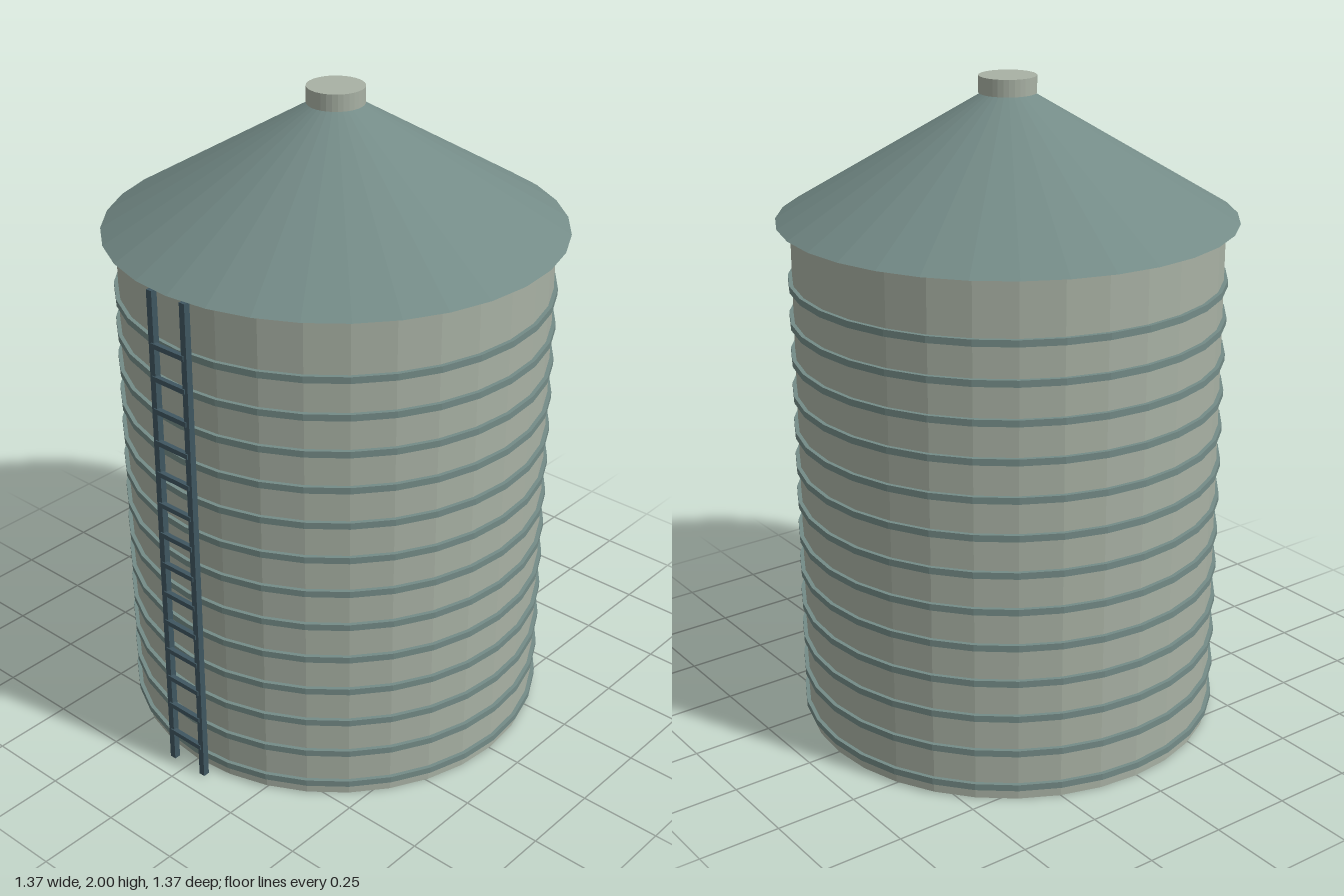
import * as THREE from 'three';

const SIDES = 32;
const CENTRE_Z = -0.004;

// Flat-shaded faces: split the vertices so every facet gets its own normal
function faceted(geometry) {
  const flat = geometry.toNonIndexed();
  flat.computeVertexNormals();
  return flat;
}

export function createModel() {
  const model = new THREE.Group();
  model.name = 'grainSilo';

  const material = (name, color) => {
    const m = new THREE.MeshStandardMaterial({ color });
    m.name = name;
    return m;
  };
  const wallMetal = material('pale galvanised metal', 0xa8b1a4);
  const roofMetal = material('blue green metal', 0x748b87);
  const ladderMetal = material('dark slate metal', 0x3f5660);

  const add = (parent, name, geometry, mat, x, y, z) => {
    const mesh = new THREE.Mesh(geometry, mat);
    mesh.name = name;
    mesh.position.set(x, y, z);
    parent.add(mesh);
    return mesh;
  };
  const drum = (top, bottom, height) =>
    faceted(new THREE.CylinderGeometry(top, bottom, height, SIDES));

  // Tank wall, conical roof and vent cap
  add(model, 'wall', drum(0.641, 0.641, 1.585), wallMetal, 0, 0.7925, CENTRE_Z);
  add(model, 'roof', drum(0.07, 0.683, 0.367), roofMetal, 0, 1.7685, CENTRE_Z);
  add(model, 'ventCap', drum(0.085, 0.085, 0.05), wallMetal, 0, 1.975, CENTRE_Z);

  // Evenly spaced hoops around the wall
  const hoops = new THREE.Group();
  hoops.name = 'hoops';
  model.add(hoops);
  const hoopGeometry = drum(0.653, 0.653, 0.02);
  for (let i = 0; i < 13; i++) {
    add(hoops, 'hoop', hoopGeometry, roofMetal, 0, 0.042 + i * 0.1135, CENTRE_Z);
  }

  // Ladder standing just off the front of the wall
  const ladder = new THREE.Group();
  ladder.name = 'ladder';
  model.add(ladder);
  const railGeometry = new THREE.BoxGeometry(0.02, 1.585, 0.02);
  for (const side of [-1, 1]) {
    add(ladder, 'ladderRail', railGeometry, ladderMetal, side * 0.063, 0.7925, 0.674);
  }
  const rungGeometry = new THREE.BoxGeometry(0.126, 0.015, 0.015);
  for (let i = 0; i < 14; i++) {
    add(ladder, 'ladderRung', rungGeometry, ladderMetal, 0, 0.104 + i * 0.1013, 0.68);
  }

  return model;
}
